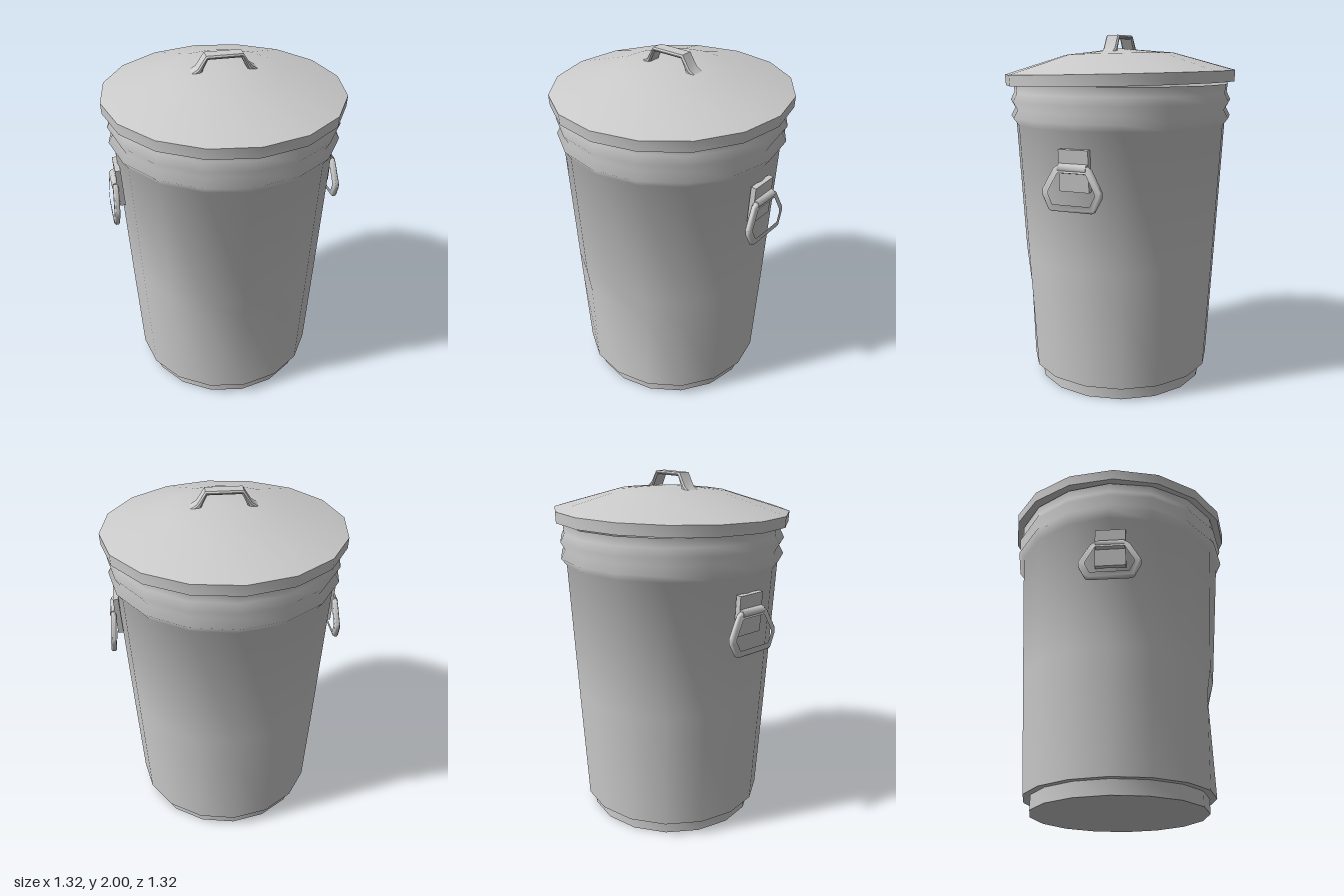
import * as THREE from 'three';
import { toCreasedNormals } from 'three/addons/utils/BufferGeometryUtils.js';

const SIDES = 16;
const grey = new THREE.MeshStandardMaterial({ color: 0xcccccc });
const greyThin = new THREE.MeshStandardMaterial({ color: 0xcccccc, side: THREE.DoubleSide });

const vectors = (pts) => pts.map(([x, y]) => new THREE.Vector2(x, y));

function part(name, geometry, crease, material = grey) {
  const mesh = new THREE.Mesh(toCreasedNormals(geometry, crease), material);
  mesh.name = name;
  return mesh;
}

// Extrudes a shape, centred on its depth, with a one-step bevel.
function slab(shape, depth, bevel) {
  const geometry = new THREE.ExtrudeGeometry(shape, {
    depth: depth - 2 * bevel, bevelEnabled: true, bevelThickness: bevel,
    bevelSize: bevel, bevelOffset: -bevel, bevelSegments: 1,
  });
  return geometry.translate(0, 0, bevel - depth / 2);
}

// Tapered body with two ridges under the rim and a dent in the front.
function makeBody() {
  const profile = vectors([
    [0, 0], [0.49, 0], [0.49, 0.08], [0.53, 0.08], [0.559, 0.6], [0.567, 0.75],
    [0.607, 1.51], [0.637, 1.55], [0.612, 1.595], [0.637, 1.64], [0.615, 1.685], [0.62, 1.735],
  ]);
  const geometry = new THREE.LatheGeometry(profile, SIDES);
  const pos = geometry.attributes.position;
  for (let i = 0; i < pos.count; i++) {
    const y = pos.getY(i);
    const limit = Math.abs(y - 0.6) < 0.01 ? 0.5 : Math.abs(y - 0.75) < 0.01 ? 0.545 : 1;
    pos.setZ(i, Math.min(pos.getZ(i), limit));
  }
  return part('body', geometry, 1.25, greyThin);
}

// Domed lid, sitting slightly askew, with a strap handle.
function makeLid() {
  const lid = new THREE.Group();
  lid.name = 'lid';
  const profile = vectors([
    [0, -0.015], [0.6, -0.02], [0.66, -0.03], [0.663, 0.03], [0.31, 0.133], [0, 0.163],
  ]);
  const dome = part('lidDome', new THREE.LatheGeometry(profile, SIDES), 0.6);
  dome.rotation.y = 0.04;

  const half = [[0.1, 0.235], [0.145, 0.165], [0.178, 0.145], [0.178, 0.115], [0.135, 0.125], [0.09, 0.215]];
  const mirrored = half.map(([x, y]) => [-x, y]).reverse();
  const strap = part('lidHandle', slab(new THREE.Shape(vectors([...half, ...mirrored])), 0.08, 0.008), 0.7);
  strap.rotation.y = -0.02;

  lid.add(dome, strap);
  lid.position.y = 1.765;
  lid.rotation.x = 0.022;
  return lid;
}

// Hanging ring, clamp and back plate; built facing +z and turned to each side.
function makeSideHandle(name) {
  const handle = new THREE.Group();
  handle.name = name;

  const plate = part('handlePlate', new THREE.BoxGeometry(0.168, 0.22, 0.03), 0.5);
  plate.position.set(0, 1.31, 0.603);
  plate.rotation.x = 0.053;

  const clamp = part('handleClamp', new THREE.CylinderGeometry(0.026, 0.026, 0.16, 8).rotateZ(Math.PI / 2), 0.9);
  clamp.position.set(0, 1.322, 0.622);

  const loop = (right) => vectors([...right, ...right.map(([x, y]) => [-x, y]).reverse()]);
  const shape = new THREE.Shape(loop([[0.085, 0.015], [0.107, 0], [0.168, -0.11], [0.168, -0.14], [0.13, -0.215], [0.115, -0.222]]));
  shape.holes.push(new THREE.Path(loop([[0.078, -0.014], [0.086, -0.018], [0.139, -0.115], [0.139, -0.136], [0.112, -0.19], [0.105, -0.194]])));
  const ring = part('handleRing', slab(shape, 0.03, 0.008), 0.9);
  ring.position.set(0, 1.322, 0.628);
  ring.rotation.x = -0.07;

  handle.add(plate, clamp, ring);
  return handle;
}

export function createModel() {
  const model = new THREE.Group();
  model.name = 'dustbin';
  model.add(makeBody(), makeLid());
  for (const side of [1, -1]) {
    const handle = makeSideHandle(side > 0 ? 'leftHandle' : 'rightHandle');
    handle.rotation.y = side * Math.PI / 2;
    handle.position.z = 0.008;
    model.add(handle);
  }
  return model;
}
